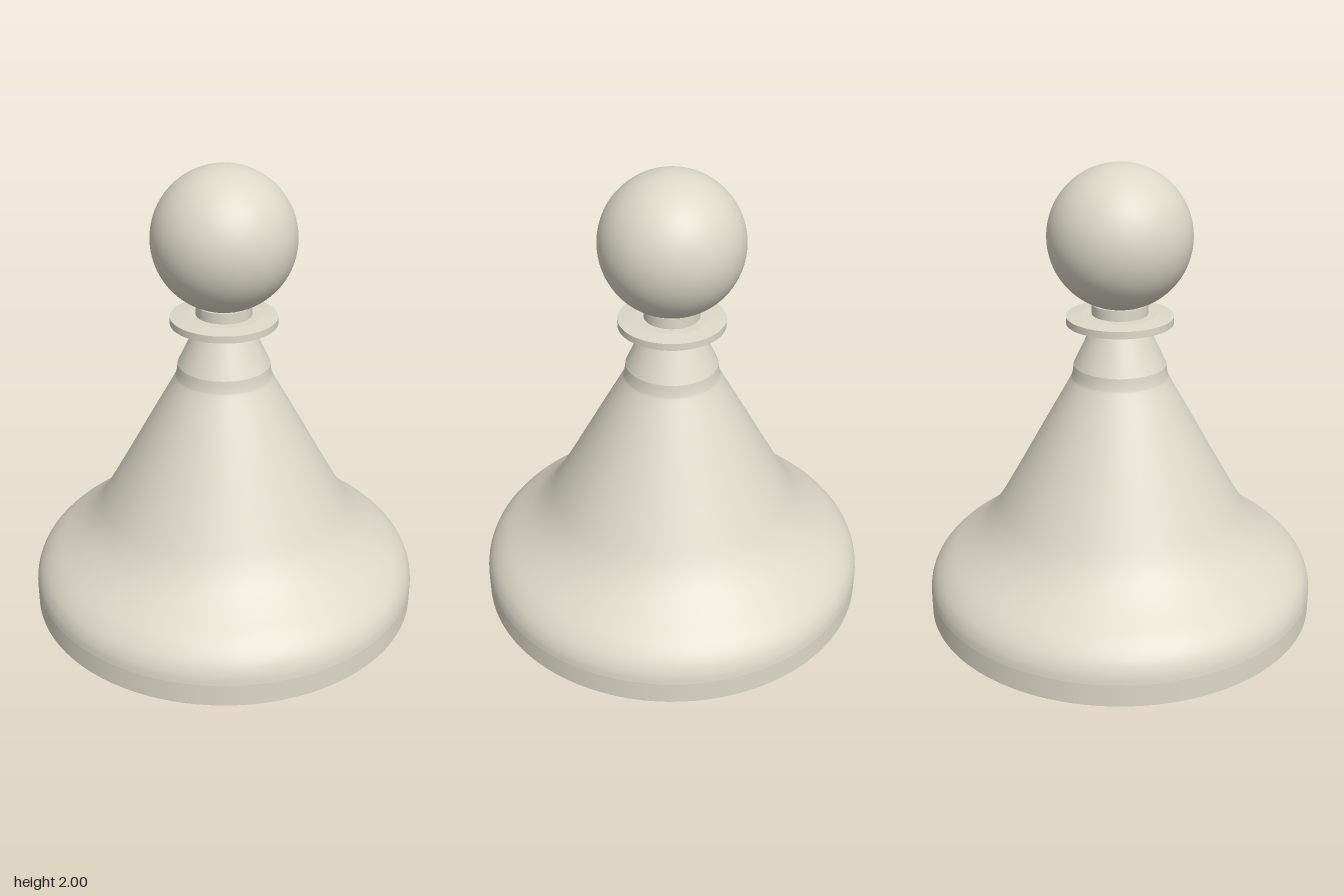
import * as THREE from 'three';

const SEGMENTS = 96;

export function createModel() {
  const model = new THREE.Group();
  const ivory = new THREE.MeshStandardMaterial({ color: 0xddd9c8 });
  ivory.name = 'ivory';

  function add(name, geometry, y = 0) {
    const mesh = new THREE.Mesh(geometry, ivory);
    mesh.name = name;
    mesh.position.y = y;
    model.add(mesh);
  }

  // Solid ring or cone between two heights
  function disc(name, rTop, rBottom, y0, y1) {
    add(name, new THREE.CylinderGeometry(rTop, rBottom, y1 - y0, SEGMENTS), (y0 + y1) / 2);
  }

  // Straight-walled foot with a flat underside
  disc('foot', 0.865, 0.865, 0, 0.1);

  // Rounded shoulder sweeping into the tapering body
  const profile = [
    [0.865, 0.1], [0.858, 0.145], [0.835, 0.195], [0.785, 0.25], [0.7, 0.315],
    [0.635, 0.37], [0.585, 0.425], [0.54, 0.49], [0.46, 0.63], [0.38, 0.775],
    [0.3, 0.92], [0.222, 1.06], [0.207, 1.095], [0.2, 1.14],
  ].map(([r, y]) => new THREE.Vector2(r, y));
  const curve = new THREE.SplineCurve(profile);
  add('body', new THREE.LatheGeometry(curve.getPoints(65), SEGMENTS));

  // Tapered neck above the crease
  disc('neck', 0.113, 0.2, 1.14, 1.325);

  // Thin collar with a shallow raised top and a small underside step
  disc('collarUnderside', 0.12, 0.11, 1.316, 1.325);
  disc('collar', 0.23, 0.23, 1.325, 1.356);
  disc('collarTop', 0.16, 0.23, 1.356, 1.364);
  disc('headSeat', 0.12, 0.12, 1.36, 1.41);

  // Ball head
  add('head', new THREE.SphereGeometry(0.305, SEGMENTS, 48), 1.695);

  return model;
}
